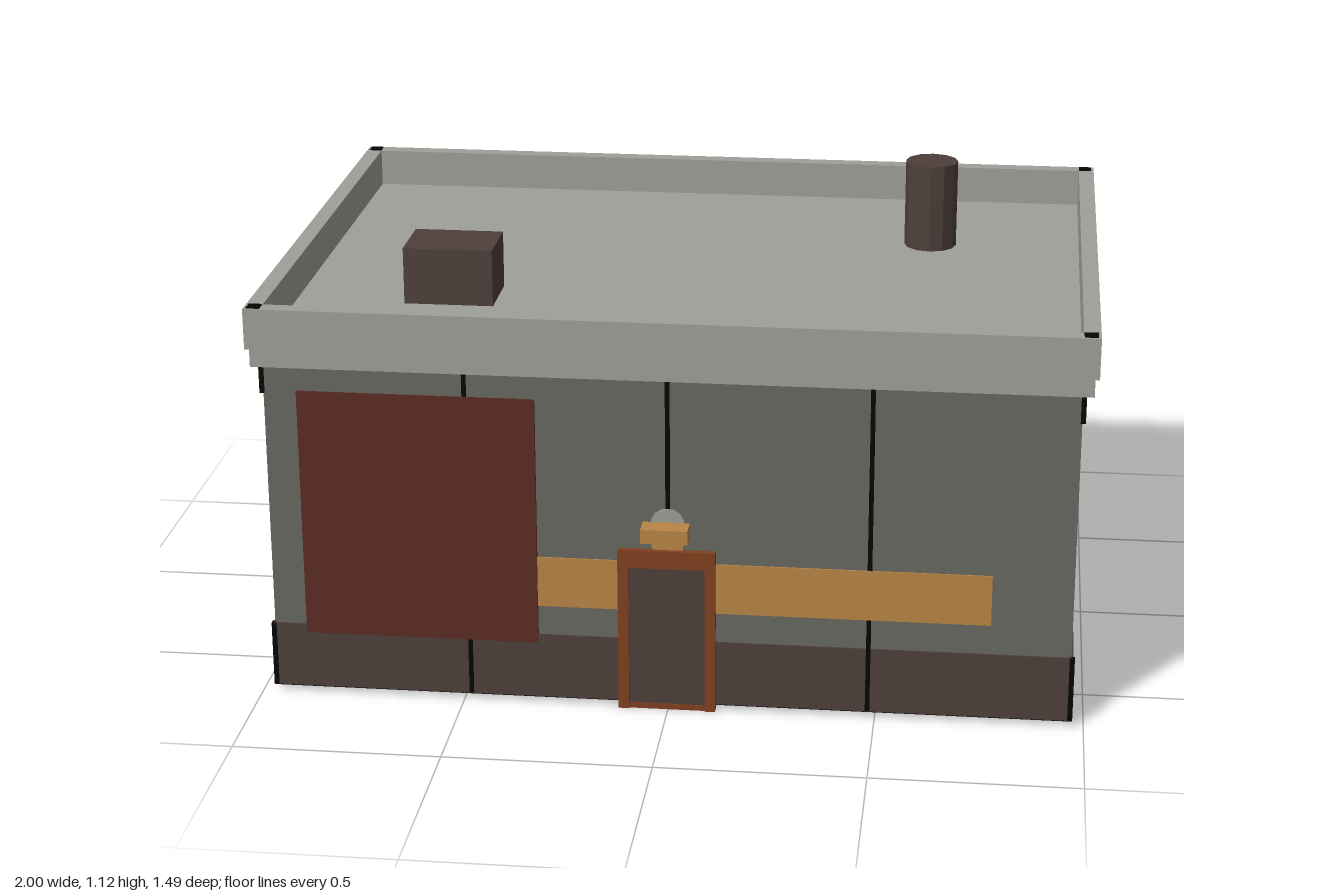
import * as THREE from 'three';

const mat = (name, color, side = THREE.FrontSide) => {
  const m = new THREE.MeshStandardMaterial({ color, side });
  m.name = name;
  return m;
};

export function createModel() {
  const concrete = mat('light concrete', 0xa0a099);
  const wallGrey = mat('wall grey', 0x696963);
  const brown = mat('dark brown', 0x4e403b);
  const ochre = mat('ochre', 0xb98545);
  const shutterRed = mat('shutter red', 0x5c2c23);
  const rust = mat('rust', 0x80401f);
  const black = mat('joint black', 0x050505);

  const model = new THREE.Group();
  model.name = 'building';
  const CZ = -0.02; // middle of the building in z

  const add = (name, geometry, material, x = 0, y = 0, z = 0) => {
    const mesh = new THREE.Mesh(geometry, material);
    mesh.name = name;
    mesh.position.set(x, y, z);
    model.add(mesh);
    return mesh;
  };
  // Box given by its limits on each axis
  const box = (name, material, [x0, x1], [y0, y1], [z0, z1]) =>
    add(name, new THREE.BoxGeometry(x1 - x0, y1 - y0, z1 - z0), material,
      (x0 + x1) / 2, (y0 + y1) / 2, (z0 + z1) / 2);
  // Box centred on the building's plan
  const tier = (name, material, hx, hz, y0, y1) =>
    box(name, material, [-hx, hx], [y0, y1], [CZ - hz, CZ + hz]);

  // Body tiers
  tier('floor', black, 0.965, 0.698, 0.012, 0.02);
  tier('plinth', brown, 0.97, 0.703, 0.016, 0.18);
  tier('walls', wallGrey, 0.965, 0.698, 0.18, 0.78);
  tier('wallBand', wallGrey, 0.972, 0.703, 0.775, 0.846);
  tier('cornice', concrete, 0.99, 0.716, 0.845, 0.892);
  tier('roofDeck', concrete, 0.97, 0.7, 0.88, 0.895);

  // Parapet around the roof, with dark corner joints
  for (const s of [-1, 1]) {
    box('parapetLong', concrete, [-1, 1], [0.89, 0.99],
      s > 0 ? [CZ + 0.682, CZ + 0.722] : [CZ - 0.722, CZ - 0.682]);
    box('parapetShort', concrete, s > 0 ? [0.96, 1] : [-1, -0.96], [0.89, 0.99],
      [CZ - 0.682, CZ + 0.682]);
    for (const t of [-1, 1]) {
      add('parapetCornerJoint', new THREE.BoxGeometry(0.032, 0.004, 0.032), black,
        s * 0.977, 0.99, CZ + t * 0.7);
      for (const [y0, y1] of [[0.016, 0.18], [0.776, 0.845]]) {
        add('cornerJoint', new THREE.BoxGeometry(0.012, y1 - y0, 0.012), black,
          s * 0.967, (y0 + y1) / 2, CZ + t * 0.699);
      }
    }
  }

  // Panel joints on every wall
  for (const [y0, y1, out] of [[0.018, 0.18, 0.005], [0.18, 0.775, 0], [0.775, 0.845, 0.005]]) {
    const h = y1 - y0, y = (y0 + y1) / 2;
    for (const s of [-1, 1]) {
      for (const x of [-0.482, 0, 0.482]) {
        add('panelJoint', new THREE.BoxGeometry(0.011, h, 0.004), black,
          x, y, CZ + s * (0.698 + out));
      }
      add('panelJointSide', new THREE.BoxGeometry(0.004, h, 0.011), black,
        s * (0.965 + out), y, CZ);
    }
  }

  // Painted bands on the front and both sides
  box('frontStripe', ochre, [-0.32, 0.772], [0.255, 0.382], [0.676, 0.682]);
  for (const s of [-1, 1]) {
    add('sideStripe', new THREE.BoxGeometry(0.006, 0.125, 1.105), ochre, s * 0.965, 0.319, CZ);
  }

  // Loading shutter
  box('shutter', shutterRed, [-0.885, -0.315], [0.16, 0.785], [0.675, 0.687]);

  // Entrance door and its frame
  box('doorPanel', brown, [-0.096, 0.092], [0.012, 0.372], [0.675, 0.688]);
  box('doorJamb', rust, [-0.12, -0.094], [0, 0.415], [0.67, 0.694]);
  box('doorJamb', rust, [0.09, 0.115], [0, 0.415], [0.67, 0.694]);
  box('doorLintel', rust, [-0.094, 0.09], [0.37, 0.415], [0.67, 0.694]);
  box('doorSill', rust, [-0.094, 0.09], [0, 0.014], [0.67, 0.69]);

  // Lamp over the door: wall plate, lower cup and shade
  add('lampPlate', new THREE.CylinderGeometry(0.042, 0.042, 0.006, 16), concrete, 0, 0.478, 0.68)
    .rotation.x = Math.PI / 2;
  const cup = new THREE.Shape([[-0.045, 0.455], [-0.036, 0.416], [0.036, 0.416], [0.045, 0.455]]
    .map(([x, y]) => new THREE.Vector2(x, y)));
  add('lampCup', new THREE.ExtrudeGeometry(cup, { depth: 0.006, bevelEnabled: false }), ochre, 0, 0, 0.679);
  box('lampShade', ochre, [-0.058, 0.054], [0.455, 0.49], [0.692, 0.745]);

  // Rooftop vent and chimney
  box('roofVent', brown, [-0.69, -0.47], [0.89, 1.036], [0.17, 0.335]);
  const pipe = new THREE.CylinderGeometry(0.067, 0.067, 0.23, 12).toNonIndexed();
  pipe.computeVertexNormals();
  add('chimney', pipe, brown, 0.575, 1.005, -0.298);

  return model;
}
